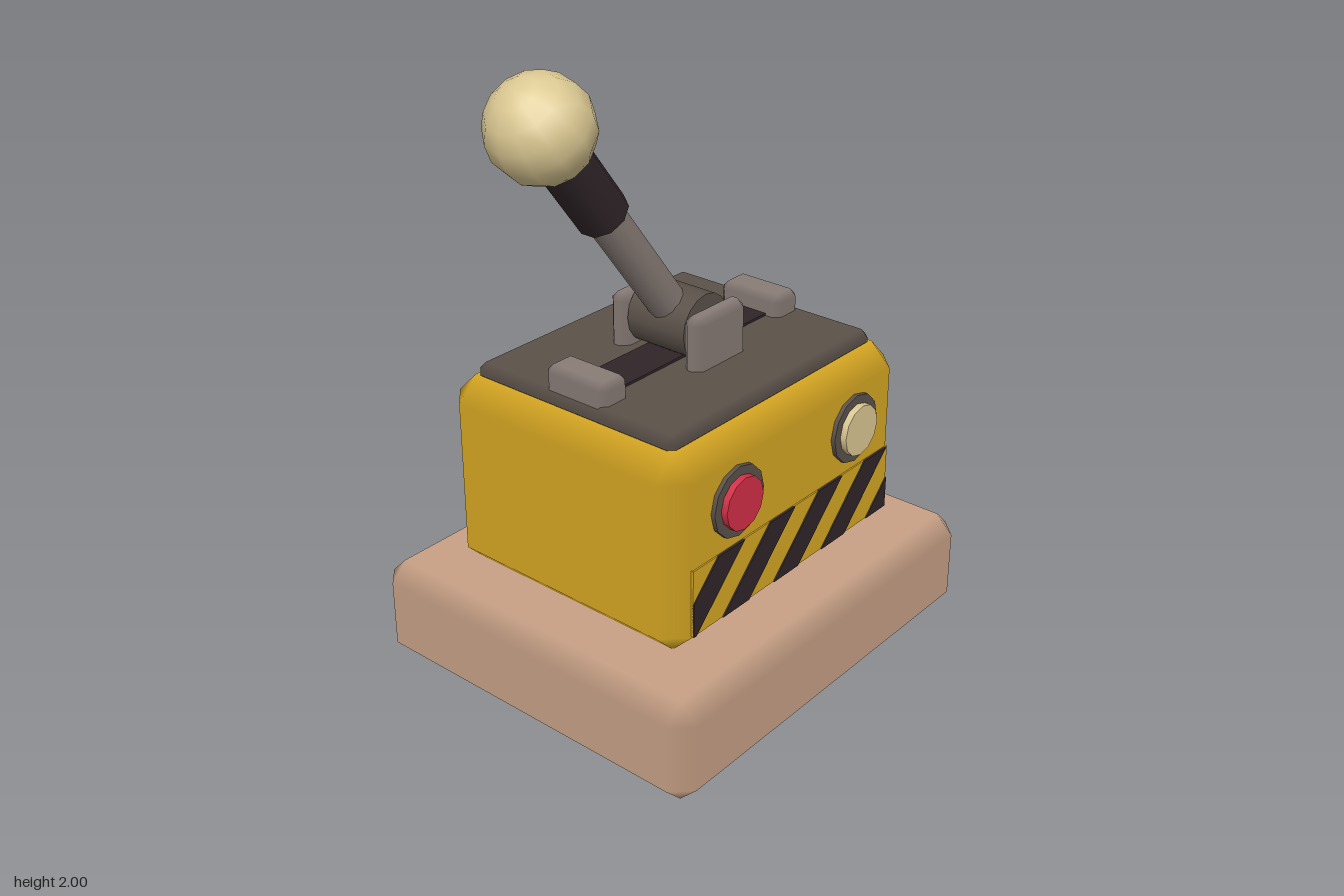
import * as THREE from 'three';

const mat = (name, color) => {
  const m = new THREE.MeshStandardMaterial({ color });
  m.name = name;
  return m;
};

// Box with single-step chamfers; vertex normals follow the main faces so bevels shade softly
function chamferBox(w, h, d, c) {
  const half = [w / 2, h / 2, d / 2];
  const pos = [], nor = [], idx = [];
  const id = (s, axis) => ((s[0] > 0 ? 4 : 0) + (s[1] > 0 ? 2 : 0) + (s[2] > 0 ? 1 : 0)) * 3 + axis;
  for (let k = 0; k < 8; k++) {
    const s = [k & 4 ? 1 : -1, k & 2 ? 1 : -1, k & 1 ? 1 : -1];
    for (let a = 0; a < 3; a++) {
      for (let i = 0; i < 3; i++) {
        pos.push(s[i] * (half[i] - (i === a ? 0 : c)));
        nor.push(i === a ? s[i] : 0);
      }
    }
  }
  const v = i => new THREE.Vector3().fromArray(pos, i * 3);
  const tri = (a, b, e) => {
    const n = v(b).sub(v(a)).cross(v(e).sub(v(a)));
    if (n.dot(v(a).add(v(b)).add(v(e))) > 0) idx.push(a, b, e);
    else idx.push(a, e, b);
  };
  const quad = (a, b, e, f) => { tri(a, b, e); tri(a, e, f); };
  const at = (a, sa, b, sb, e, se) => { const s = []; s[a] = sa; s[b] = sb; s[e] = se; return s; };
  for (let a = 0; a < 3; a++) {
    const b = (a + 1) % 3, e = (a + 2) % 3;
    for (const s of [-1, 1]) {
      // main face
      quad(...[[-1, -1], [1, -1], [1, 1], [-1, 1]].map(([p, q]) => id(at(a, s, b, p, e, q), a)));
      // edge chamfers running along axis e
      for (const t of [-1, 1]) {
        const lo = at(a, s, b, t, e, -1), hi = at(a, s, b, t, e, 1);
        quad(id(lo, a), id(lo, b), id(hi, b), id(hi, a));
      }
    }
  }
  for (let k = 0; k < 8; k++) tri(k * 3, k * 3 + 1, k * 3 + 2);
  const g = new THREE.BufferGeometry();
  g.setAttribute('position', new THREE.Float32BufferAttribute(pos, 3));
  g.setAttribute('normal', new THREE.Float32BufferAttribute(nor, 3));
  g.setIndex(idx);
  return g;
}

// Keep the part of a polygon where side * x <= limit
function clipX(pts, side, limit) {
  const out = [];
  pts.forEach((p, i) => {
    const q = pts[(i + 1) % pts.length];
    const dp = side * p.x - limit, dq = side * q.x - limit;
    if (dp <= 0) out.push(p);
    if (dp * dq < 0) out.push(p.clone().lerp(q, dp / (dp - dq)));
  });
  return out;
}

export function createModel() {
  const tan = mat('tan base', 0xc8a186);
  const yellow = mat('yellow paint', 0xd8a823);
  const dark = mat('dark plate', 0x5b5149);
  const black = mat('black', 0x302528);
  const metal = mat('grey metal', 0x887c76);
  const cream = mat('cream', 0xdcc993);
  const red = mat('red lens', 0xd52f47);

  const model = new THREE.Group();
  model.name = 'leverSwitch';
  const add = (name, geo, m, x = 0, y = 0, z = 0, parent = model) => {
    const mesh = new THREE.Mesh(geo, m);
    mesh.name = name;
    mesh.position.set(x, y, z);
    parent.add(mesh);
    return mesh;
  };

  // Base, body and top plate
  add('base', chamferBox(1.44, 0.34, 1.25, 0.06), tan, 0, 0.17, 0);
  add('body', chamferBox(1.11, 0.645, 0.92, 0.073), yellow, 0, 0.6575, 0);
  add('topPlate', chamferBox(0.97, 0.06, 0.776, 0.025), dark, 0, 0.99, 0);
  add('slot', new THREE.BoxGeometry(0.8, 0.03, 0.14), black, 0, 1.013, 0);

  // End stops and hinge brackets
  for (const s of [-1, 1]) {
    add(s > 0 ? 'leftStop' : 'rightStop', chamferBox(0.116, 0.1, 0.235, 0.022), metal, s * 0.408, 1.04, 0);
    add(s > 0 ? 'frontBracket' : 'backBracket', chamferBox(0.236, 0.2, 0.07, 0.025), metal, 0, 1.09, s * 0.145);
  }

  // Hinge barrel
  const barrel = new THREE.CylinderGeometry(0.105, 0.105, 0.22, 16).rotateX(Math.PI / 2);
  add('hingeBarrel', barrel, dark, 0, 1.115, 0);

  // Tilted lever with grip and ball knob
  const lever = new THREE.Group();
  lever.name = 'lever';
  lever.position.set(0, 1.115, 0);
  lever.rotation.z = Math.atan2(0.56, 0.73);
  model.add(lever);
  add('leverShaft', new THREE.CylinderGeometry(0.06, 0.06, 0.7, 12), metal, 0, 0.35, 0, lever);
  add('leverGrip', new THREE.CylinderGeometry(0.081, 0.081, 0.27, 10), black, 0, 0.67, 0, lever);
  add('leverKnob', new THREE.SphereGeometry(0.156, 12, 8), cream, 0, 0.92, 0, lever);

  // Indicator lamps
  for (const [name, x, lens] of [['redLamp', -0.29, red], ['creamLamp', 0.288, cream]]) {
    const lamp = new THREE.Group();
    lamp.name = name;
    lamp.position.set(x, 0.777, 0.455);
    model.add(lamp);
    const disc = (r, d) => new THREE.CylinderGeometry(r, r, d, 12).rotateX(Math.PI / 2).translate(0, 0, d / 2);
    add(name + 'Housing', disc(0.113, 0.019), dark, 0, 0, 0, lamp);
    add(name + 'Lens', disc(0.084, 0.04), lens, 0, 0, 0, lamp);
  }

  // Hazard panel with slanted stripes
  const w = 0.485, y0 = 0.413, h = 0.219, pitch = 0.2435;
  add('hazardPanel', new THREE.BoxGeometry(w * 2, h, 0.008), yellow, 0, y0 + h / 2, 0.461);
  for (let i = 0; i < 5; i++) {
    const b = -0.595 + i * pitch, e = b + pitch / 2;
    let pts = [[b, 0], [e, 0], [e + h, h], [b + h, h]].map(p => new THREE.Vector2(...p));
    pts = clipX(clipX(pts, 1, w), -1, w);
    const geo = new THREE.ExtrudeGeometry(new THREE.Shape(pts), { depth: 0.008, bevelEnabled: false });
    add('hazardStripe' + (i + 1), geo, black, 0, y0, 0.461);
  }
  return model;
}
